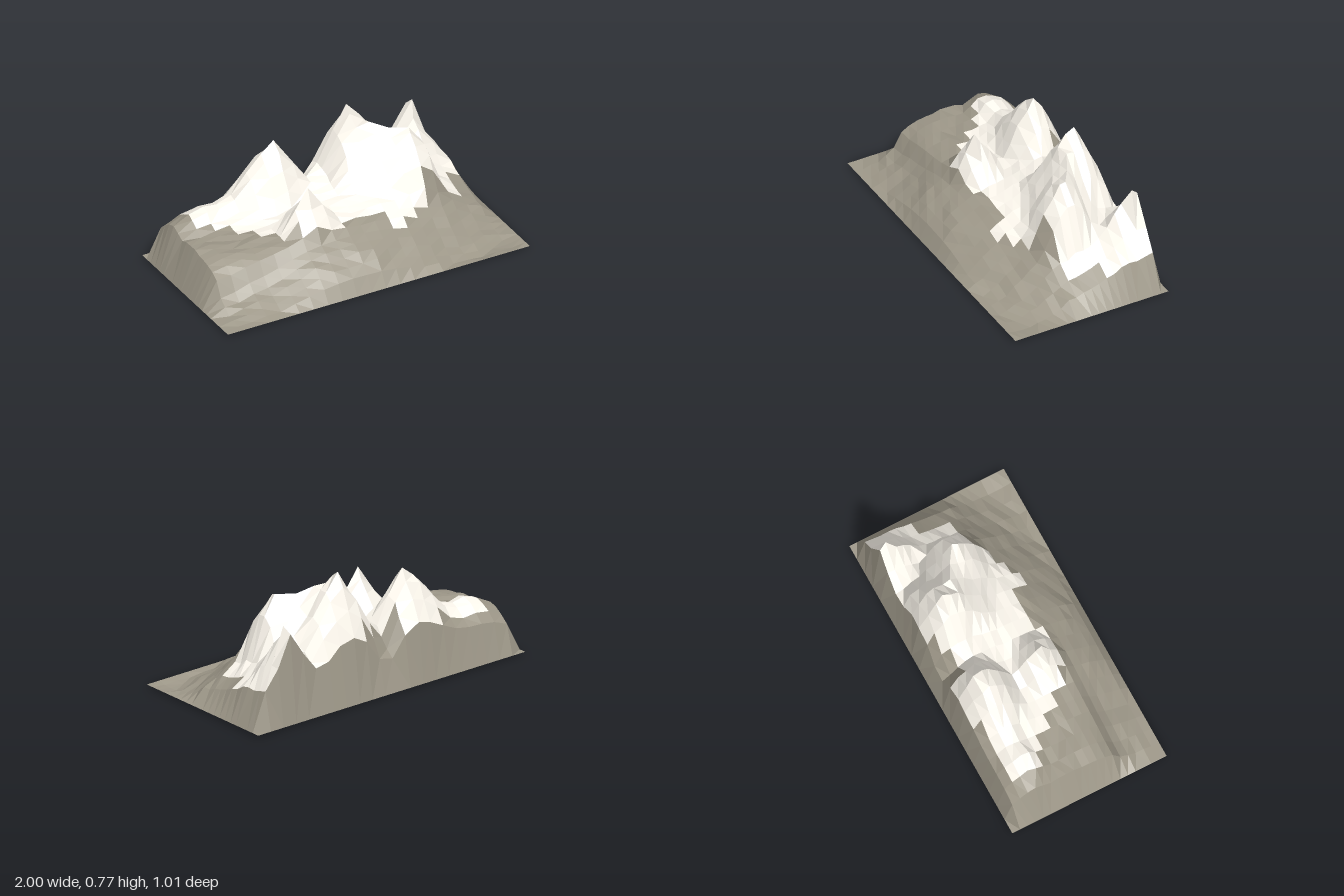
import * as THREE from 'three';

const NX = 21, NZ = 20, HALF_X = 1, HALF_Z = 0.505, RIM = 0.015;

// Rolling foothills: coarse rows from back to front, heights for x from -0.9 to 0.9
const FOOTHILLS = [
  { z: -0.45, y: [0.13, 0.26, 0.33, 0.18, 0.34, 0.29, 0.24] },
  { z: -0.27, y: [0.24, 0.32, 0.40, 0.41, 0.43, 0.34, 0.22] },
  { z: -0.09, y: [0.26, 0.28, 0.30, 0.35, 0.40, 0.33, 0.15] },
  { z: 0.09, y: [0.25, 0.28, 0.30, 0.32, 0.32, 0.27, 0.10] },
  { z: 0.2, y: [0.19, 0.24, 0.29, 0.29, 0.26, 0.17, 0.04] },
  { z: 0.27, y: [0.07, 0.14, 0.23, 0.26, 0.20, 0.11, 0.02] },
  { z: 0.37, y: [0.03, 0.08, 0.18, 0.20, 0.13, 0.04, 0.00] },
  { z: 0.46, y: [0.015, 0.03, 0.10, 0.11, 0.06, 0.00, 0.00] },
];

// Summits: position, height, reach towards -x, +x, back and front, and bulge of the flanks
const SUMMITS = [
  { x: -0.245, z: -0.303, h: 0.675, reach: [0.56, 0.33, 0.3, 0.32], bulge: 1.25 },
  { x: -0.714, z: -0.295, h: 0.37, reach: [0.5, 0.9, 0.35, 0.3], bulge: 1.5 },
  { x: 0.238, z: -0.303, h: 0.775, reach: [0.37, 0.5, 0.28, 0.5], bulge: 1.25 },
  { x: 0.333, z: -0.202, h: 0.68, reach: [0.4, 0.45, 0.35, 0.5], bulge: 1.1 },
  { x: 0.429, z: -0.152, h: 0.64, reach: [0.45, 0.42, 0.33, 0.42], bulge: 1.2 },
  { x: 0.53, z: -0.085, h: 0.645, reach: [0.45, 0.26, 0.26, 0.3], bulge: 1.6 },
  { x: 0.735, z: -0.41, h: 0.6, reach: [0.37, 0.2, 1, 0.45], bulge: 1 },
  { x: -0.238, z: 0.09, h: 0.56, reach: [0.38, 0.38, 0.34, 0.29], bulge: 1.05 },
];

// Repeatable value in -1..1 for each grid point
function rough(i, j, k) {
  const s = Math.sin(i * 127.1 + j * 311.7 + k * 74.7) * 43758.5453;
  return 2 * (s - Math.floor(s)) - 1;
}

function foothill(x, z) {
  const u = THREE.MathUtils.clamp((x + 0.9) / 0.3, 0, 5.999);
  const c = Math.floor(u);
  const front = Math.max(1, FOOTHILLS.findIndex((row) => row.z >= z));
  const [r0, r1] = [FOOTHILLS[front - 1], FOOTHILLS[front]];
  const across = ({ y }) => THREE.MathUtils.lerp(y[c], y[c + 1], u - c);
  const t = THREE.MathUtils.clamp((z - r0.z) / (r1.z - r0.z), 0, 1);
  return THREE.MathUtils.lerp(across(r0), across(r1), t);
}

function summit({ x: px, z: pz, h, reach, bulge }, x, z) {
  const dx = (x - px) / reach[x < px ? 0 : 1];
  const dz = (z - pz) / reach[z < pz ? 2 : 3];
  return h * (1 - Math.hypot(dx, dz) ** bulge);
}

// One grid point of the landscape; the outer rim stays flat, the nearest point meets a summit
function groundPoint(i, j) {
  const x = -HALF_X + (2 * HALF_X * i) / NX;
  const z = -HALF_Z + (2 * HALF_Z * j) / NZ;
  if (i === 0 || j === 0 || i === NX || j === NZ) return new THREE.Vector3(x, RIM, z);
  const top = SUMMITS.find((s) => Math.hypot(s.x - x, s.z - z) < 0.025);
  if (top) return new THREE.Vector3(top.x, top.h, top.z);
  const peak = Math.max(...SUMMITS.map((s) => summit(s, x, z)));
  const y = Math.max(foothill(x, z), peak) + 0.009 * rough(i, j, 1);
  const shift = y > 0.33 ? 0.008 : 0;
  return new THREE.Vector3(
    x + shift * rough(i, j, 2), Math.max(0, y), z + shift * rough(i, j, 3));
}

// The snow reaches lower on the right-hand slopes, except on the front knoll
function snowLine({ x, z }) {
  if (x > 0.5) return z > 0.03 ? 0.35 : 0.15;
  return x > 0.2 ? 0.2 : 0.28;
}

function facetMesh(name, corners, color) {
  const geometry = new THREE.BufferGeometry().setFromPoints(corners);
  geometry.computeVertexNormals();
  const material = new THREE.MeshStandardMaterial({
    color, flatShading: true, side: THREE.DoubleSide });
  const mesh = new THREE.Mesh(geometry, material);
  mesh.name = name;
  return mesh;
}

export function createModel() {
  const group = new THREE.Group();
  group.name = 'mountainRange';
  const snow = [], rock = [];

  // Sort every patch of ground into snow or rock by its lowest corner
  for (let i = 0; i < NX; i++) {
    for (let j = 0; j < NZ; j++) {
      const a = groundPoint(i, j), b = groundPoint(i, j + 1);
      const c = groundPoint(i + 1, j + 1), d = groundPoint(i + 1, j);
      const target = Math.min(a.y, b.y, c.y, d.y) > snowLine(a) ? snow : rock;
      // Split along the flatter diagonal so ridges stay crisp
      if (Math.abs(a.y - c.y) < Math.abs(b.y - d.y)) target.push(a, b, c, a, c, d);
      else target.push(a, b, d, b, c, d);
    }
  }
  group.add(facetMesh('snowCaps', snow, 0xfdf8ee), facetMesh('rockSlopes', rock, 0x9e9889));
  return group;
}
